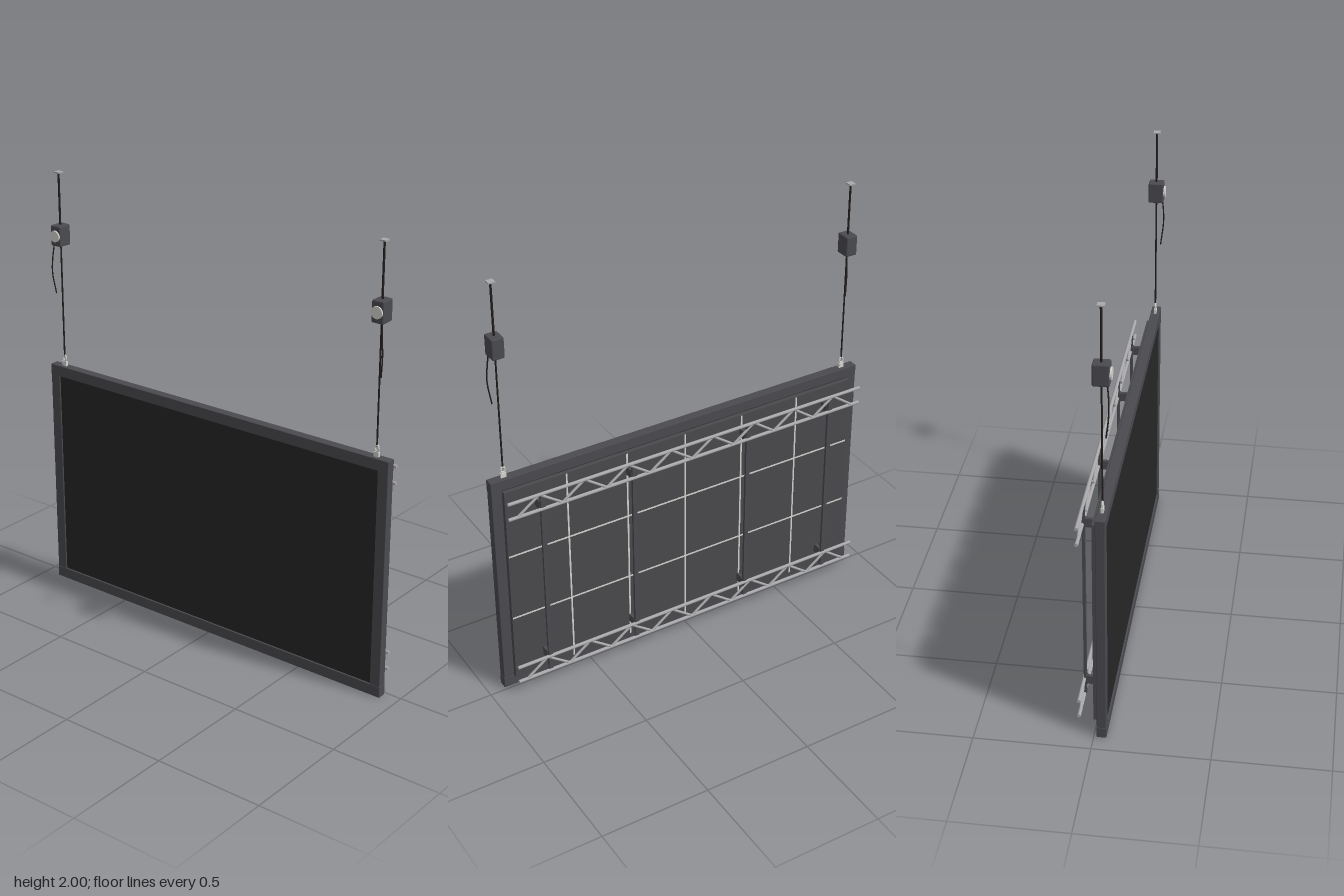
import * as THREE from 'three';
import { RoundedBoxGeometry } from 'three/addons/geometries/RoundedBoxGeometry.js';

const mat = (name, color) => {
  const m = new THREE.MeshStandardMaterial({ color });
  m.name = name;
  return m;
};

export function createModel() {
  const root = new THREE.Group();
  root.name = 'hangingVideoWall';
  const frameMat = mat('charcoalFrame', 0x4b4a4f);
  const screenMat = mat('blackScreen', 0x272727);
  const backMat = mat('cabinetGrey', 0x4a4a4d);
  const steelMat = mat('steelGrey', 0xa9a9ac);
  const lightMat = mat('lightMetal', 0xd4d4d0);
  const cableMat = mat('darkCable', 0x241f1d);

  const add = (name, geo, material, x = 0, y = 0, z = 0, parent = root) => {
    const m = new THREE.Mesh(geo, material);
    m.name = name;
    m.position.set(x, y, z);
    parent.add(m);
    return m;
  };
  const box = (name, w, h, d, material, x, y, z, parent) =>
    add(name, new THREE.BoxGeometry(w, h, d), material, x, y, z, parent);
  const rounded = (name, w, h, d, r, material, x, y, z, parent) =>
    add(name, new RoundedBoxGeometry(w, h, d, 2, r), material, x, y, z, parent);
  // Round bar between two points
  const bar = (name, a, b, r, material, parent) => {
    const p = new THREE.Vector3(...a), q = new THREE.Vector3(...b);
    const dir = q.clone().sub(p);
    const m = add(name, new THREE.CylinderGeometry(r, r, dir.length(), 10), material, 0, 0, 0, parent);
    m.position.copy(p).add(q).multiplyScalar(0.5);
    m.quaternion.setFromUnitVectors(new THREE.Vector3(0, 1, 0), dir.normalize());
    return m;
  };

  // Surrounding frame and screen
  rounded('bottomRail', 1.85, 0.052, 0.042, 0.003, frameMat, 0, 0.026, 0.033);
  rounded('topRail', 1.85, 0.052, 0.042, 0.003, frameMat, 0, 1.064, 0.033);
  for (const s of [-1, 1])
    rounded('sideRail', 0.05, 0.99, 0.04, 0.003, frameMat, s * 0.899, 0.545, 0.033);
  box('screen', 1.75, 0.99, 0.034, screenMat, 0, 0.545, 0.03);

  // Rear cabinet shell with light seams in a six by three grid
  const cols = 6, rows = 3, w = 1.752, h = 0.984, seam = 0.008;
  box('cabinetShell', w, h, 0.022, backMat, 0, 0.545, 0.003);
  for (let i = 1; i < cols; i++)
    box('verticalSeam', seam, h - 0.006, 0.002, lightMat, (i / cols - 0.5) * w, 0.545, -0.008);
  for (let j = 1; j < rows; j++)
    box('crossSeam', w - 0.006, seam, 0.002, lightMat, 0, 0.545 + (j / rows - 0.5) * h, -0.008);

  // Rear ladder trusses with zigzag bracing
  const tz = -0.067;
  for (const [lo, hi] of [[0.076, 0.154], [0.944, 1.02]]) {
    const truss = new THREE.Group();
    truss.name = 'truss';
    root.add(truss);
    for (const y of [lo, hi])
      bar('chord', [-0.89, y, tz], [0.89, y, tz], 0.008, steelMat, truss);
    const n = 16, step = 1.7 / n;
    for (let i = 0; i < n; i++) {
      const x = -0.85 + i * step, up = i % 2 === 0;
      bar('brace', [x, up ? lo : hi, tz], [x + step, up ? hi : lo, tz], 0.006, steelMat, truss);
    }
  }

  // Uprights and their wall brackets
  for (const x of [-0.73, -0.29, 0.29, 0.73]) {
    box('upright', 0.02, 0.95, 0.012, frameMat, x, 0.548, -0.063);
    for (const y of [0.148, 0.95]) {
      box('bracket', 0.014, 0.04, 0.054, frameMat, x, y, -0.034);
      box('bracketPlate', 0.024, 0.044, 0.006, frameMat, x, y, -0.056);
    }
  }

  // Suspension: eye, cable, hoist and ceiling plate on each side
  for (const s of [-1, 1]) {
    const rig = new THREE.Group();
    rig.name = s > 0 ? 'leftHoist' : 'rightHoist';
    root.add(rig);
    const x = s * 0.855, z = 0.034;
    const eye = add('liftingEye', new THREE.TorusGeometry(0.009, 0.004, 8, 20), lightMat, x, 1.126, z, rig);
    eye.scale.y = 1.5;
    box('eyeBase', 0.024, 0.022, 0.012, lightMat, x, 1.101, z, rig);
    bar('lowerCable', [x, 1.135, z], [x, 1.655, z], 0.0038, cableMat, rig);
    bar('upperCable', [x, 1.755, z], [x, 1.995, z], 0.0048, cableMat, rig);
    box('ceilingPlate', 0.03, 0.006, 0.03, steelMat, x, 1.997, z, rig);
    rounded('hoistBody', 0.056, 0.094, 0.068, 0.006, frameMat, x, 1.712, z, rig);
    const cap = add('hoistCap', new THREE.CylinderGeometry(0.026, 0.026, 0.01, 24), lightMat, x, 1.712, 0.07, rig);
    cap.rotation.x = Math.PI / 2;
    const path = new THREE.CatmullRomCurve3([
      [0.872, 1.675, 0.058], [0.879, 1.61, 0.064], [0.884, 1.54, 0.064], [0.874, 1.44, 0.053],
    ].map(([px, py, pz]) => new THREE.Vector3(s * px, py, pz)));
    add('looseChain', new THREE.TubeGeometry(path, 16, 0.003, 6), cableMat, 0, 0, 0, rig);
  }
  return root;
}
